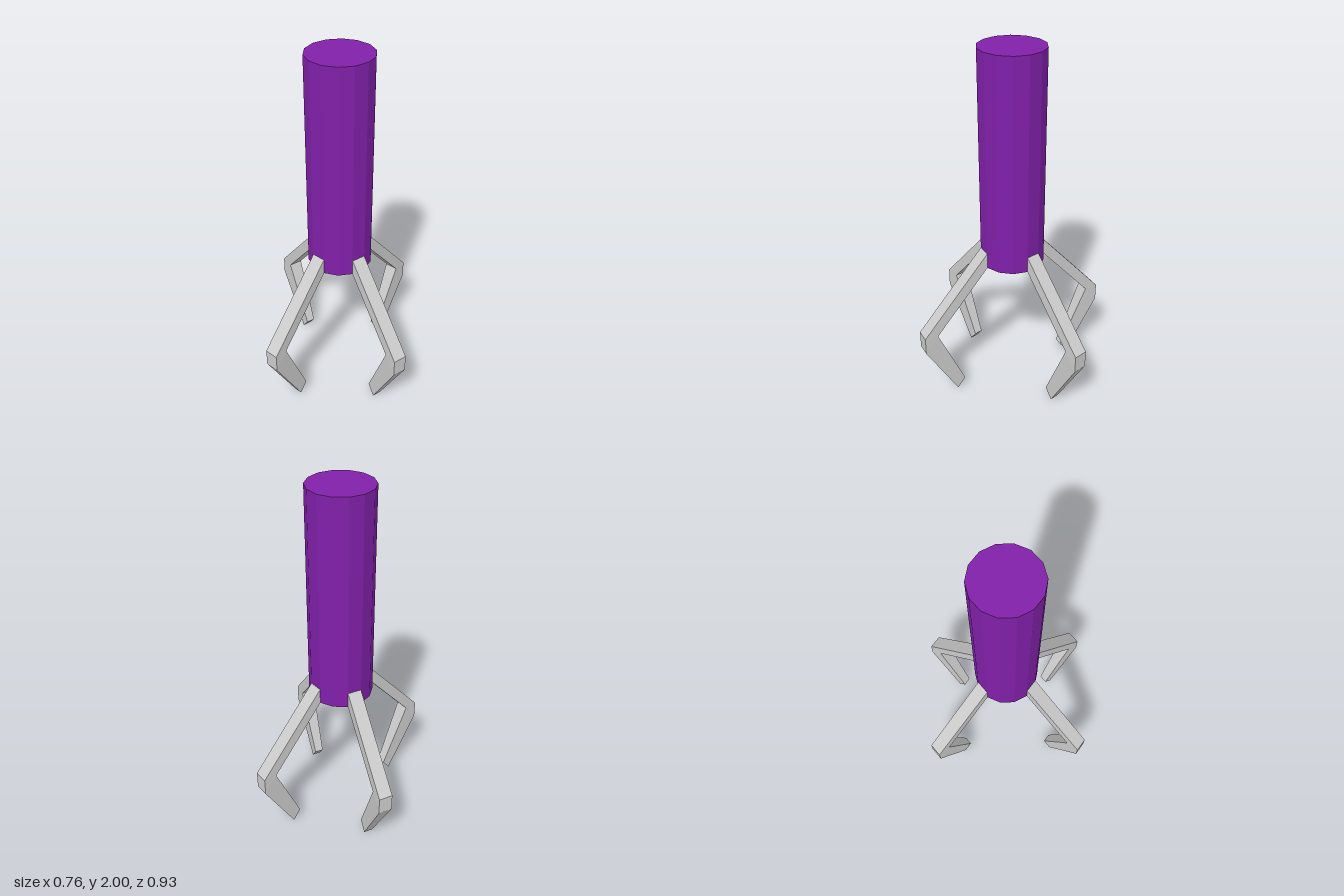
import * as THREE from 'three';

const SIDES = 14;
const RADIUS = 0.178;

// Bent claw: side profile as (distance from axis, height), given width and a tapered tip
function clawGeometry() {
  const profile = [
    [0.173, 0.885], [0.173, 0.795], [0.487, 0.435], [0.328, 0.06],
    [0.374, 0], [0.563, 0.34], [0.563, 0.44],
  ].map(([r, y]) => new THREE.Vector2(r, y));
  const geometry = new THREE.ExtrudeGeometry(new THREE.Shape(profile), {
    depth: 1, bevelEnabled: false,
  });
  const p = geometry.attributes.position;
  for (let i = 0; i < p.count; i++) {
    const width = p.getY(i) < 0.1 ? 0.05 : 0.078;
    p.setZ(i, (p.getZ(i) - 0.5) * width);
  }
  geometry.computeVertexNormals();
  return geometry;
}

export function createModel() {
  const model = new THREE.Group();
  model.name = 'clawArm';

  // Faceted shaft
  const shaft = new THREE.Mesh(
    new THREE.CylinderGeometry(RADIUS, RADIUS, 1.205, SIDES),
    new THREE.MeshStandardMaterial({ color: 0x8020a8, flatShading: true }),
  );
  shaft.name = 'shaft';
  shaft.position.y = 0.795 + 1.205 / 2;
  model.add(shaft);

  // Four claws, each centred on a shaft facet
  const clawMaterial = new THREE.MeshStandardMaterial({ color: 0xcccccc, flatShading: true });
  const geometry = clawGeometry();
  const facet = (1.5 * 2 * Math.PI) / SIDES;
  const claws = {
    frontLeftClaw: facet,
    frontRightClaw: -facet,
    backLeftClaw: Math.PI - facet,
    backRightClaw: Math.PI + facet,
  };
  for (const [name, angle] of Object.entries(claws)) {
    const claw = new THREE.Mesh(geometry, clawMaterial);
    claw.name = name;
    claw.rotation.y = angle - Math.PI / 2;
    model.add(claw);
  }
  return model;
}
